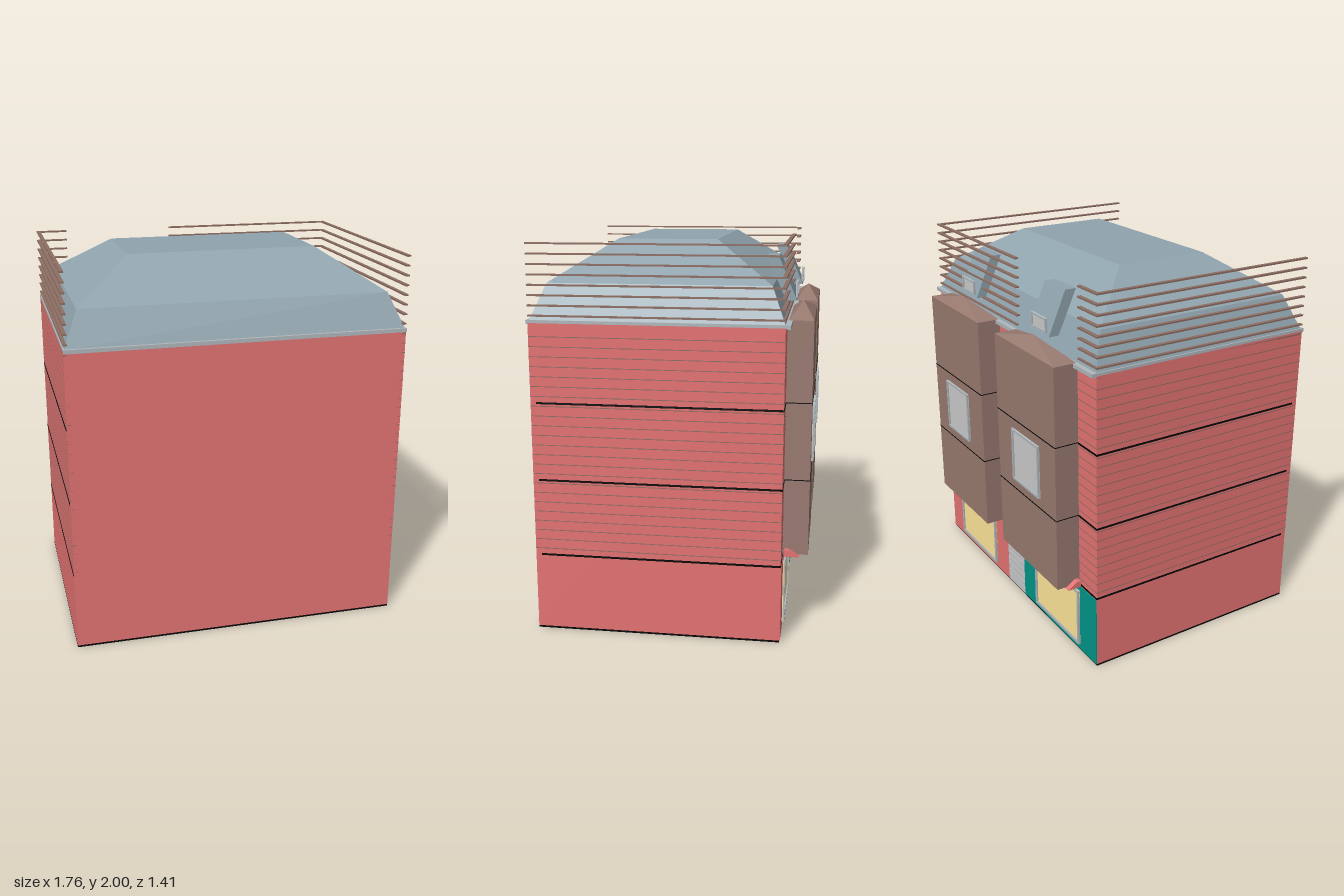
import * as THREE from 'three';

const COLORS = {
  brick: 0xe57373, brown: 0x997a70, rail: 0x8d6e63, slate: 0x90a4ae, teal: 0x009688,
  glow: 0xffe89a, white: 0xeeeeee, black: 0x050505, trim: 0xb0b8bc,
};
const mats = {};
for (const k in COLORS) mats[k] = new THREE.MeshStandardMaterial({ color: COLORS[k] });
mats.slate.flatShading = true;
mats.brown.flatShading = true;

// Box given by its minimum and maximum on each axis
function box(parent, name, mat, x0, x1, y0, y1, z0, z1) {
  const m = new THREE.Mesh(new THREE.BoxGeometry(x1 - x0, y1 - y0, z1 - z0), mats[mat]);
  m.position.set((x0 + x1) / 2, (y0 + y1) / 2, (z0 + z1) / 2);
  m.name = name;
  parent.add(m);
  return m;
}

// Skin through stacked rectangles [y, x0, x1, z0, z1], closed at the top
function stackedRects(rings) {
  const pos = [];
  const corners = ([y, x0, x1, z0, z1]) => [[x0, y, z1], [x1, y, z1], [x1, y, z0], [x0, y, z0]];
  const quad = (a, b, c, d) => pos.push(...a, ...b, ...c, ...a, ...c, ...d);
  for (let i = 0; i < rings.length - 1; i++) {
    const lo = corners(rings[i]), hi = corners(rings[i + 1]);
    for (let k = 0; k < 4; k++) quad(lo[k], lo[(k + 1) % 4], hi[(k + 1) % 4], hi[k]);
  }
  quad(...corners(rings[rings.length - 1]));
  const g = new THREE.BufferGeometry();
  g.setAttribute('position', new THREE.Float32BufferAttribute(pos, 3));
  g.computeVertexNormals();
  return g;
}

// Extrude a (z, y) outline along x from x0 to x1
function extrudeX(parent, name, mat, pts, x0, x1) {
  const shape = new THREE.Shape(pts.map(([z, y]) => new THREE.Vector2(-z, y)));
  const g = new THREE.ExtrudeGeometry(shape, { depth: x1 - x0, bevelEnabled: false });
  g.rotateY(Math.PI / 2);
  g.translate(x0, 0, 0);
  const m = new THREE.Mesh(g, mats[mat]);
  m.name = name;
  parent.add(m);
}

// Four bars around a pane on the back face
function framedWindow(parent, name, pane, x0, x1, y0, y1, z, t) {
  const g = new THREE.Group();
  g.name = name;
  box(g, 'pane', pane, x0, x1, y0, y1, z - 0.004, z);
  for (const x of [x0, x1 - t]) box(g, 'frameSide', 'trim', x, x + t, y0, y1, z - 0.012, z);
  for (const y of [y0, y1 - t]) box(g, 'frameBar', 'trim', x0, x1, y, y + t, z - 0.012, z);
  parent.add(g);
}

function createHalf(s) {
  const half = new THREE.Group();
  half.name = s > 0 ? 'leftFrontage' : 'rightFrontage';
  const span = (a, b) => (s > 0 ? [a, b] : [-b, -a]);

  // Shop front
  const shop = s > 0 ? 'brick' : 'teal';
  box(half, 'shopPanel', shop, ...span(0.1, 0.879), 0.01, 0.4, -0.574, -0.56);
  framedWindow(half, 'shopWindow', 'glow', ...span(0.25, 0.72), 0.04, 0.37, -0.574, 0.015);

  // Awning under the bay
  extrudeX(half, 'awning', shop === 'teal' ? 'brick' : shop,
    [[-0.58, 0.445], [-0.6, 0.445], [-0.655, 0.41], [-0.58, 0.41]], ...span(0.68, 0.74));
  extrudeX(half, 'awningValance', 'white',
    [[-0.58, 0.435], [-0.65, 0.395], [-0.645, 0.415], [-0.58, 0.44]], ...span(0.12, 0.7));

  // Three-storey bay with grooves, window and pyramid cap
  const bay = new THREE.Group();
  bay.name = 'bay';
  for (let f = 0; f < 3; f++) {
    const y = 0.415 + f * 0.4;
    box(bay, 'bayStorey', 'brown', ...span(0.1, 0.71), y, y + 0.395, -0.7, -0.56);
    if (f) box(bay, 'bayJoint', 'black', ...span(0.1, 0.71), y - 0.005, y, -0.702, -0.56);
  }
  framedWindow(bay, 'bayWindow', 'white', ...span(0.27, 0.55), 0.87, 1.16, -0.7, 0.012);
  const cap = new THREE.Mesh(stackedRects([
    [1.61, ...span(0.1, 0.71), -0.7, -0.57],
    [1.625, ...span(0.1, 0.71), -0.7, -0.575],
    [1.69, ...span(0.404, 0.406), -0.638, -0.636],
  ]), mats.brown);
  cap.name = 'bayCap';
  bay.add(cap);
  half.add(bay);

  // Slanted dormer with a small window
  extrudeX(half, 'dormer', 'slate',
    [[-0.45, 1.92], [-0.55, 1.697], [-0.605, 1.697], [-0.51, 1.92]], ...span(0.3, 0.5));
  framedWindow(half, 'dormerWindow', 'white', ...span(0.325, 0.475), 1.71, 1.785, -0.597, 0.01);
  return half;
}

export function createModel() {
  const model = new THREE.Group();
  model.name = 'townhouse';

  // Walls, base and floor slabs
  box(model, 'walls', 'brick', -0.88, 0.88, 0.01, 1.61, -0.57, 0.69);
  box(model, 'baseSlab', 'black', -0.88, 0.88, 0, 0.01, -0.57, 0.69);
  for (const y of [0.41, 0.81, 1.21])
    box(model, 'floorSlab', 'black', -0.882, 0.882, y - 0.005, y + 0.005, -0.572, 0.66);

  // Eaves and mansard roof
  box(model, 'eaves', 'trim', -0.88, 0.88, 1.605, 1.625, -0.595, 0.7);
  const roof = new THREE.Mesh(stackedRects([
    [1.62, -0.875, 0.875, -0.57, 0.685],
    [1.8, -0.8, 0.8, -0.5, 0.61],
    [2.0, -0.5, 0.5, -0.2, 0.31],
  ]), mats.slate);
  roof.name = 'roof';
  model.add(roof);

  // Horizontal courses that rise past the eaves as open rails
  const rails = new THREE.Group();
  rails.name = 'rails';
  for (let i = 0; i < 32; i++) {
    const y = 0.45 + i * 0.05, y0 = y - 0.008;
    const out = y < 1.6 ? 0.001 : 0;
    const h = y < 1.6 ? 0.004 : 0.008;
    box(rails, 'rightRail', 'rail', -0.88 - out, -0.86, y0, y0 + h, -0.57, 0.69);
    box(rails, 'leftRail', 'rail', 0.86, 0.88 + out, y0, y0 + h, -0.57, 0.69);
    box(rails, 'backRailLong', 'rail', -0.1, 0.88, y0, y0 + h, -0.57 - out, -0.55);
    box(rails, 'backRailShort', 'rail', -0.88, -0.71, y0, y0 + h, -0.57 - out, -0.55);
    if (y < 1.6) box(rails, 'cornerCourse', 'rail', -0.88, 0.88, y0, y0 + h, -0.571, -0.55);
  }
  model.add(rails);

  // Slatted shutter door between the shops
  const door = new THREE.Group();
  door.name = 'shutterDoor';
  box(door, 'doorPanel', 'white', -0.1, 0.1, 0.01, 0.4, -0.573, -0.56);
  for (let i = 0; i < 9; i++)
    box(door, 'doorSlat', 'trim', -0.1, 0.1, 0.03 + i * 0.04, 0.036 + i * 0.04, -0.576, -0.57);
  model.add(door);

  for (const s of [1, -1]) model.add(createHalf(s));
  return model;
}
